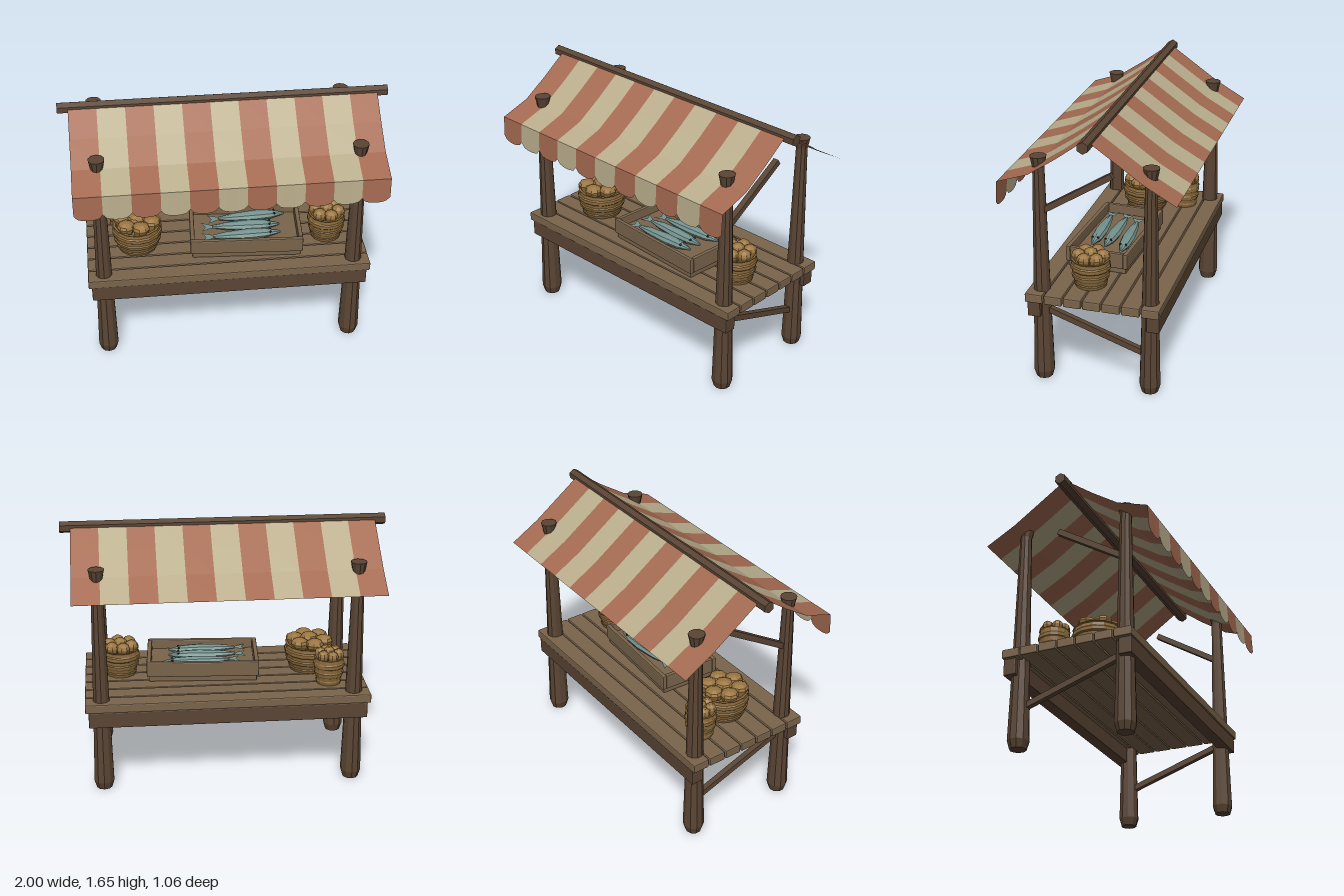
import * as THREE from 'three';
import { RoundedBoxGeometry } from 'three/addons/geometries/RoundedBoxGeometry.js';

const mat = (name, color, side = THREE.FrontSide) => {
  const m = new THREE.MeshStandardMaterial({ color, flatShading: true, side });
  m.name = name;
  return m;
};

export function createModel() {
  const model = new THREE.Group();
  model.name = 'marketStall';
  const darkWood = mat('darkWood', 0x5a4534);
  const plankWood = mat('plankWood', 0x7a644b);
  const red = mat('redCloth', 0xa56b52, THREE.DoubleSide);
  const cream = mat('creamCloth', 0xbaae8d, THREE.DoubleSide);
  const wicker = mat('wicker', 0x8c6b3c);
  const crust = mat('breadCrust', 0x9a7540);
  const fishSkin = mat('fishSkin', 0x75938f, THREE.DoubleSide);
  const eyeBlack = mat('eyeBlack', 0x2c2622);

  const add = (name, geo, material, x = 0, y = 0, z = 0, parent = model) => {
    const mesh = new THREE.Mesh(geo, material);
    mesh.name = name;
    mesh.position.set(x, y, z);
    parent.add(mesh);
    return mesh;
  };
  const board = (name, w, h, d, material, x, y, z, parent) =>
    add(name, new RoundedBoxGeometry(w, h, d, 1, 0.007), material, x, y, z, parent);
  const lathe = (pts, sides) =>
    new THREE.LatheGeometry(pts.map(([r, y]) => new THREE.Vector2(r, y)), sides);

  // Square beam in the plane of a table end, between two (z, y) points
  const brace = (name, x, z0, y0, z1, y1) => {
    const dz = z1 - z0, dy = y1 - y0;
    const b = add(name, new THREE.BoxGeometry(0.036, 0.036, Math.hypot(dz, dy)), darkWood,
      x, (y0 + y1) / 2, (z0 + z1) / 2);
    b.rotation.x = -Math.atan2(dy, dz);
  };

  // Posts and braces
  const postProfile = [[0, 0], [0.05, 0], [0.065, 0.05], [0.056, 0.42], [0.036, 1.385], [0.05, 1.45], [0, 1.45]];
  for (const x of [-0.785, 0.785]) {
    for (const z of [0.325, -0.345]) add('post', lathe(postProfile, 10), darkWood, x, 0, z);
    brace('upperBrace', x, 0.31, 1.11, -0.115, 1.375);
    brace('lowerBrace', x, 0.31, 0.475, -0.32, 0.255);
  }

  // Table
  for (let i = 0; i < 7; i++)
    board('tabletopPlank', 1.77, 0.057, 0.11, plankWood, 0, 0.572, 0.347 - i * 0.119);
  for (const z of [0.354, -0.379]) board('apron', 1.73, 0.105, 0.08, darkWood, 0, 0.494, z);

  // Ridge pole
  const ridge = add('ridgePole', new THREE.CylinderGeometry(0.036, 0.036, 2, 6), darkWood, 0, 1.61, -0.012);
  ridge.rotation.set(0, 0, Math.PI / 2);
  ridge.geometry.rotateY(Math.PI / 2);

  // Striped awning with a scalloped front edge
  const roof = [[-0.53, 1.295], [-0.345, 1.4], [-0.18, 1.515], [-0.01, 1.634], [0.17, 1.5], [0.335, 1.39], [0.527, 1.325]];
  const stripe = 1.87 / 11, steps = 8;
  const stripeGeometry = (x0) => {
    const pos = [];
    const quad = (a, b, c, d) => pos.push(...a, ...b, ...c, ...a, ...c, ...d);
    for (let i = 0; i < roof.length - 1; i++) {
      const [z0, y0] = roof[i], [z1, y1] = roof[i + 1];
      quad([x0, y0, z0], [x0, y1, z1], [x0 + stripe, y1, z1], [x0 + stripe, y0, z0]);
    }
    const hem = (t) => 1.2 - 0.037 * Math.sqrt(Math.max(0, 1 - (2 * t - 1) ** 2));
    for (let i = 0; i < steps; i++) {
      const t0 = i / steps, t1 = (i + 1) / steps;
      const xa = x0 + t0 * stripe, xb = x0 + t1 * stripe;
      quad([xa, 1.325, 0.527], [xa, hem(t0), 0.533], [xb, hem(t1), 0.533], [xb, 1.325, 0.527]);
    }
    const g = new THREE.BufferGeometry();
    g.setAttribute('position', new THREE.Float32BufferAttribute(pos, 3));
    g.computeVertexNormals();
    return g;
  };
  for (let i = 0; i < 11; i++)
    add('awningStripe', stripeGeometry(-0.935 + i * stripe), i % 2 ? cream : red);

  // Woven baskets filled with small loaves
  const loafProfile = [[0, -0.04], [0.75, -0.04], [1, 0.005], [0.85, 0.022], [0.4, 0.036], [0, 0.038]];
  const basket = (x, z, r) => {
    const g = new THREE.Group();
    g.name = 'basket';
    g.position.set(x, 0.6, z);
    model.add(g);
    const rings = 6, profile = [[0, 0]];
    for (let i = 0; i < rings; i++) {
      const at = (t) => r * (0.78 + 0.22 * Math.sin(t * 2.1));
      const y0 = i / rings, y1 = (i + 0.75) / rings, inset = i % 2 ? 0.95 : 1;
      profile.push([at(y0) * inset, y0 * 0.175], [at(y1) * inset, y1 * 0.175]);
    }
    profile.push([r * 0.97, 0.175], [r * 0.86, 0.175], [r * 0.82, 0.15], [0, 0.15]);
    add('basketBody', lathe(profile, 14), wicker, 0, 0, 0, g);
    const loaf = lathe(loafProfile.map(([w, y]) => [w * r * 0.36, y]), 8);
    for (let i = 0; i < 6; i++) {
      const a = i * Math.PI / 3 + 0.3;
      add('loaf', loaf, crust, Math.cos(a) * r * 0.6, 0.19, Math.sin(a) * r * 0.6, g).rotation.y = a;
    }
    add('loaf', loaf, crust, 0, 0.202, 0, g);
  };
  basket(-0.56, 0.045, 0.16);
  basket(-0.65, -0.2, 0.098);
  basket(0.655, 0.06, 0.122);

  // Fish crate, turned slightly on the table
  const crate = new THREE.Group();
  crate.name = 'fishCrate';
  crate.position.set(0.13, 0.6, 0.06);
  crate.rotation.y = -0.06;
  model.add(crate);
  board('crateBase', 0.685, 0.075, 0.375, plankWood, 0, 0.038, 0, crate);
  for (const s of [-1, 1]) {
    board('crateLongSide', 0.71, 0.1, 0.028, plankWood, 0, 0.086, s * 0.186, crate);
    board('crateShortSide', 0.028, 0.1, 0.345, plankWood, s * 0.341, 0.086, 0, crate);
  }

  // Fish: tapered body from elliptical sections, flat forked tail, dark eyes
  const sections = [[-0.19, 0.012, 0.01], [-0.1, 0.03, 0.022], [0.04, 0.041, 0.03], [0.15, 0.034, 0.026], [0.24, 0.008, 0.008]];
  const body = new THREE.CylinderGeometry(1, 1, 1, 8, sections.length - 1);
  const p = body.attributes.position;
  for (let i = 0; i < p.count; i++) {
    const [x, w, h] = sections[Math.round((p.getY(i) + 0.5) * (sections.length - 1))];
    p.setXYZ(i, x, -p.getX(i) * h, p.getZ(i) * w);
  }
  body.computeVertexNormals();
  const tail = new THREE.ShapeGeometry(new THREE.Shape(
    [[-0.18, -0.01], [-0.18, 0.01], [-0.26, 0.045], [-0.235, 0], [-0.26, -0.045]].map(([x, y]) => new THREE.Vector2(x, y))));
  tail.rotateX(-Math.PI / 2);
  [[0.02, -0.1, 0.04], [-0.02, 0, -0.03], [-0.02, 0.095, 0.02]].forEach(([x, z, turn]) => {
    const fish = new THREE.Group();
    fish.name = 'fish';
    fish.position.set(x, 0.106, z);
    fish.rotation.y = turn + 0.06;
    crate.add(fish);
    add('fishBody', body, fishSkin, 0, 0, 0, fish);
    add('fishTail', tail, fishSkin, 0, 0, 0, fish);
    for (const s of [-1, 1])
      add('fishEye', new THREE.IcosahedronGeometry(0.009, 0), eyeBlack, 0.175, 0.016, s * 0.018, fish);
  });

  return model;
}
